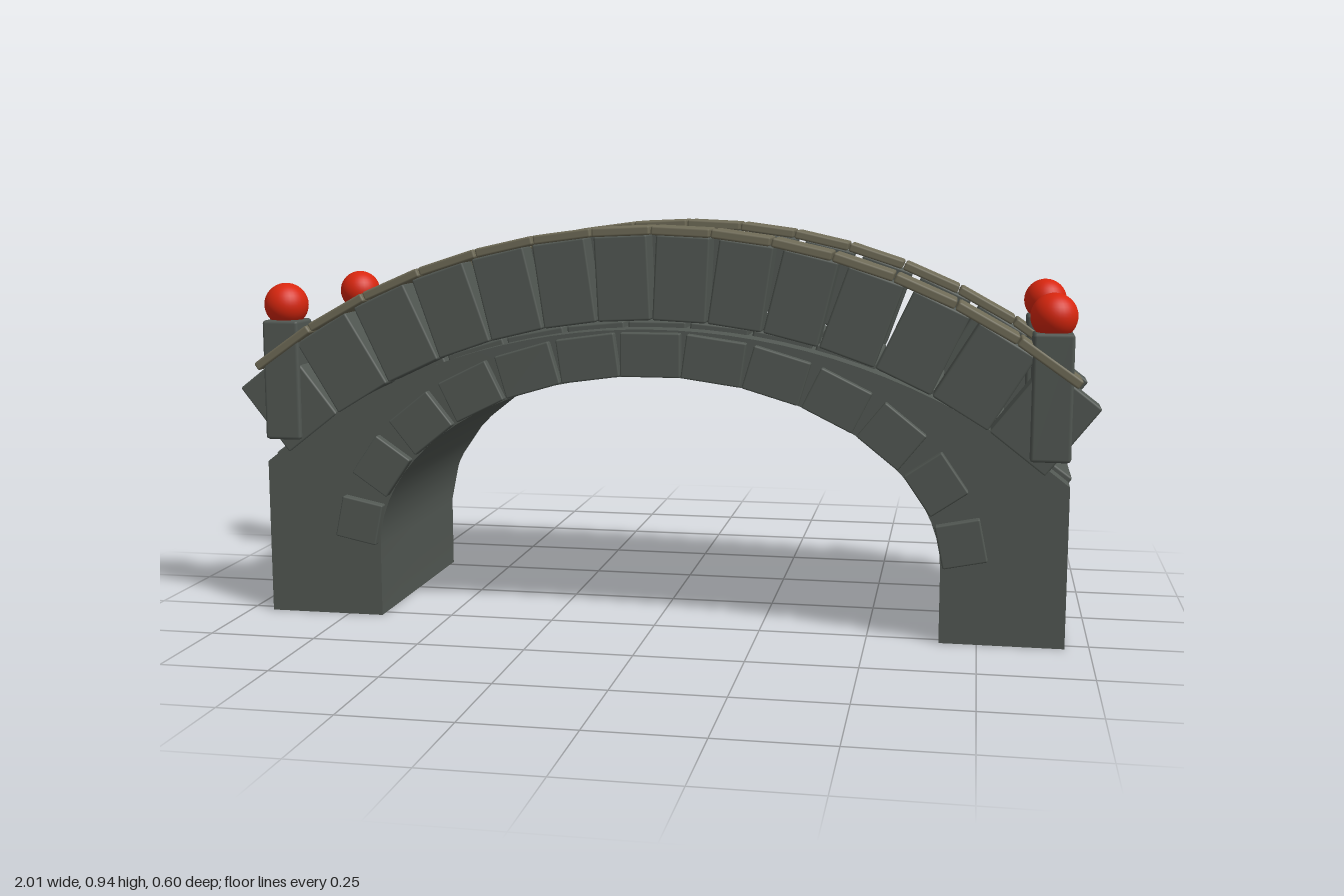
import * as THREE from 'three';
import { toCreasedNormals } from 'three/addons/utils/BufferGeometryUtils.js';
import { RoundedBoxGeometry } from 'three/addons/geometries/RoundedBoxGeometry.js';

const stone = new THREE.MeshStandardMaterial({ name: 'dark stone', color: 0x525853 });
const coping = new THREE.MeshStandardMaterial({ name: 'olive stone', color: 0x6f6b57 });
const red = new THREE.MeshStandardMaterial({ name: 'red', color: 0xd8260e });

// Bevelled block, tilted in the front plane
function block(parent, name, size, pos, tilt, material, bevel = 0.005) {
  const mesh = new THREE.Mesh(new RoundedBoxGeometry(...size, 1, bevel), material);
  mesh.name = name;
  mesh.position.set(...pos);
  mesh.rotation.z = tilt;
  parent.add(mesh);
  return mesh;
}

// Row of blocks at even x steps, following a circle about (0, cy)
function arcRow(parent, name, { count, pitch, radius, cy, fitRadius, height, depth, z, gap, material }) {
  for (let i = 0; i < count; i++) {
    const x = (i - (count - 1) / 2) * pitch;
    const a = Math.asin(x / radius);
    const length = (pitch / Math.cos(a)) * (fitRadius / radius) - gap;
    block(parent, name, [length, height, depth], [x, cy + radius * Math.cos(a), z], -a, material);
  }
}

export function createModel() {
  const bridge = new THREE.Group();
  bridge.name = 'stoneArchBridge';

  // Solid body with the arched opening
  const halfW = 0.945, roadR = 1.5, bodyTop = 0.705;
  const span = new THREE.EllipseCurve(0, 0.17, 0.665, 0.427, 0, Math.PI);
  const shape = new THREE.Shape();
  shape.moveTo(halfW, 0);
  for (let i = 0; i <= 32; i++) {
    const x = halfW * (1 - i / 16);
    shape.lineTo(x, bodyTop - roadR + Math.sqrt(roadR * roadR - x * x));
  }
  shape.lineTo(-halfW, 0);
  shape.lineTo(-0.665, 0);
  for (const p of span.getPoints(36).reverse()) shape.lineTo(p.x, p.y);
  shape.lineTo(0.665, 0);
  const bodyGeo = new THREE.ExtrudeGeometry(shape, { depth: 0.556, bevelEnabled: false });
  bodyGeo.translate(0, 0, -0.278);
  const body = new THREE.Mesh(toCreasedNormals(bodyGeo, 0.4), stone);
  body.name = 'archBody';
  bridge.add(body);

  // Deck slabs
  const deck = new THREE.Group();
  deck.name = 'deck';
  bridge.add(deck);
  arcRow(deck, 'deckSlab', {
    count: 13, pitch: 0.1455, radius: roadR - 0.02, cy: 0.718 - roadR, fitRadius: roadR - 0.02,
    height: 0.04, depth: 0.425, z: 0, gap: 0.009, material: stone,
  });

  // Centre line of the ring of arch stones
  const ring = new THREE.EllipseCurve(0, 0.17, 0.717, 0.478, 0, Math.PI);
  const inset = 0.066 / ring.getLength();

  for (const s of [1, -1]) {
    const side = new THREE.Group();
    side.name = s > 0 ? 'frontSide' : 'backSide';
    bridge.add(side);

    // Arch stones around the opening
    for (let i = 0; i < 13; i++) {
      const u = inset + (1 - 2 * inset) * (i / 12);
      const p = ring.getPointAt(u), t = ring.getTangentAt(u);
      const width = 0.1 + 0.04 * Math.sin(Math.PI * i / 12);
      block(side, 'archStone', [width, 0.102, 0.05], [p.x, p.y, s * 0.275],
        Math.atan2(-t.y, -t.x), stone, 0.004);
    }

    // Parapet stones and their coping
    const cy = -0.6225;
    arcRow(side, 'parapetStone', {
      count: 14, pitch: 0.1365, radius: 1.445, cy, fitRadius: 1.352,
      height: 0.195, depth: 0.075, z: s * 0.243, gap: 0.004, material: stone,
    });
    arcRow(side, 'copingStone', {
      count: 14, pitch: 0.1375, radius: 1.5525, cy, fitRadius: 1.5525,
      height: 0.021, depth: 0.105, z: s * 0.243, gap: 0.003, material: coping,
    });

    // End posts with ball finials
    for (const e of [1, -1]) {
      block(side, 'endPost', [0.09, 0.287, 0.094], [e * 0.9, 0.5685, s * 0.243], 0, stone, 0.008);
      const ball = new THREE.Mesh(new THREE.SphereGeometry(0.052, 32, 20), red);
      ball.name = 'ballFinial';
      ball.position.set(e * 0.9, 0.747, s * 0.243);
      side.add(ball);
    }
  }
  return bridge;
}
